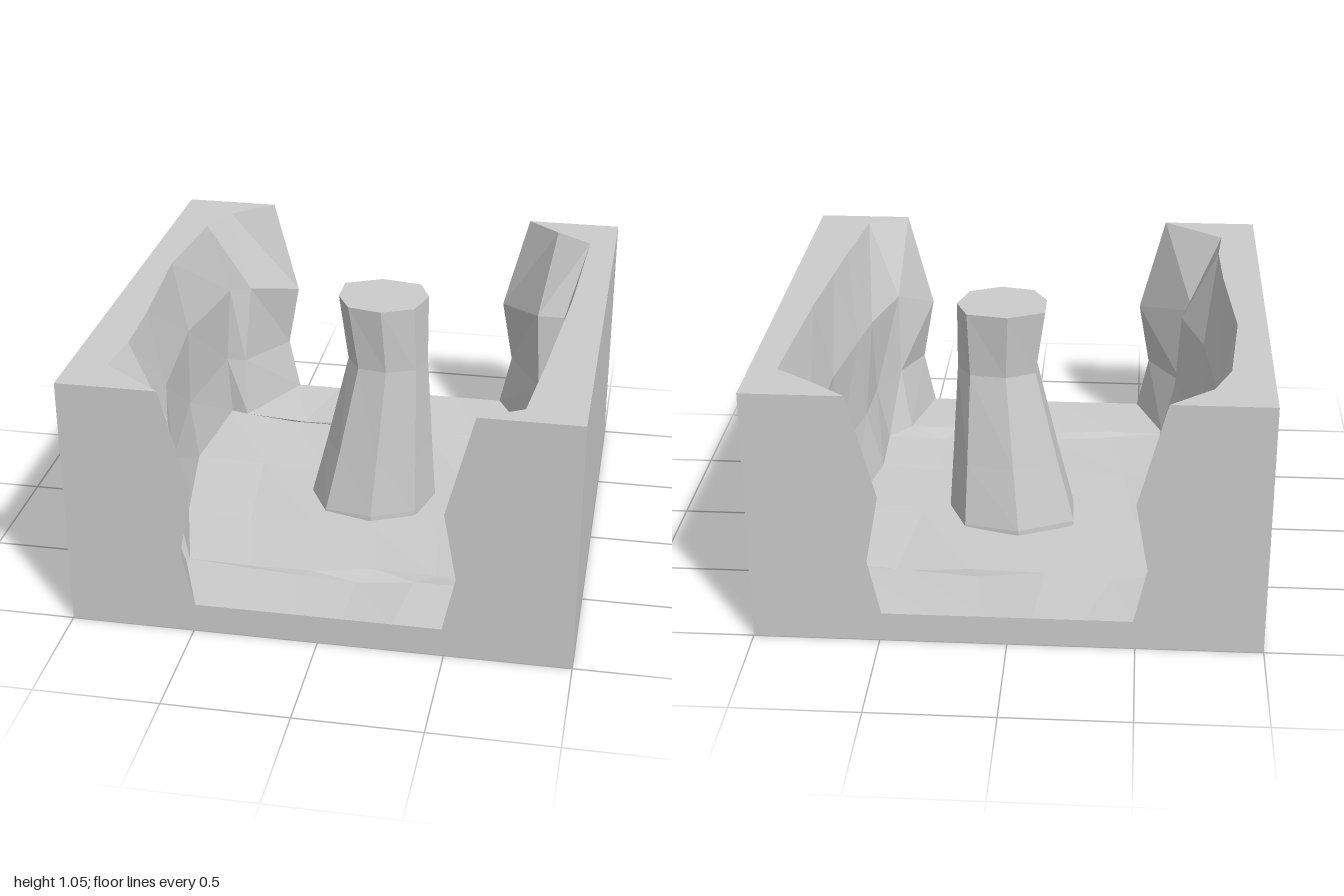
import * as THREE from 'three';

const TOP = 1.05, FLOOR = 0.12;

// Surface through rows of [x, y, z] points, flat-shaded facets
function loft(rows, flip = false) {
  const pos = [];
  for (let j = 0; j < rows.length - 1; j++) {
    for (let i = 0; i < rows[j].length - 1; i++) {
      const a = rows[j][i], b = rows[j][i + 1], c = rows[j + 1][i + 1], d = rows[j + 1][i];
      for (const t of [[a, b, c], [a, c, d]]) {
        if (flip) t.reverse();
        t.forEach((p) => pos.push(...p));
      }
    }
  }
  const g = new THREE.BufferGeometry();
  g.setAttribute('position', new THREE.Float32BufferAttribute(pos, 3));
  g.computeVertexNormals();
  return g;
}

// Level polygon from [x, z] points, facing up
function levelFace(points, y) {
  const shape = new THREE.Shape(points.map(([x, z]) => new THREE.Vector2(x, -z)));
  return new THREE.ShapeGeometry(shape).rotateX(-Math.PI / 2).translate(0, y, 0);
}

// Inner outlines of each wall, back to front, as [x, z]
const leftSide = {
  rim: [[0.6, -1], [0.74, -0.88], [0.89, -0.77], [0.86, -0.12], [0.83, 0.25], [0.81, 0.5], [0.77, 0.9], [0.6, 1]],
  mid: [[0.49, -1], [0.68, -0.66], [0.8, -0.66], [0.79, -0.12], [0.74, 0.25], [0.71, 0.48], [0.63, 0.8], [0.49, 1]],
  foot: [[0.49, -1], [0.68, -0.64], [0.79, -0.61], [0.73, -0.15], [0.65, 0.27], [0.66, 0.57], [0.57, 0.68], [0.49, 1]],
};
const rightSide = {
  rim: [[-0.6, -1], [-0.77, -0.85], [-0.84, -0.68], [-0.88, -0.22], [-0.84, 0.3], [-0.83, 0.6], [-0.85, 0.81], [-0.6, 1]],
  mid: [[-0.49, -1], [-0.66, -0.74], [-0.75, -0.7], [-0.82, -0.22], [-0.77, 0.32], [-0.68, 0.62], [-0.73, 0.71], [-0.49, 1]],
  foot: [[-0.49, -1], [-0.67, -0.65], [-0.75, -0.67], [-0.79, -0.2], [-0.71, 0.28], [-0.6, 0.67], [-0.61, 0.69], [-0.49, 1]],
};

// Pillar outlines as [x, z]
const pillarBase = [[-0.23, -0.2], [0, -0.31], [0.23, -0.26], [0.31, -0.07], [0.25, 0.12], [0.07, 0.2], [-0.13, 0.17], [-0.22, 0]];
const pillarNeck = [[-0.06, -0.12], [0.06, -0.18], [0.21, -0.16], [0.27, -0.06], [0.24, 0.07], [0.12, 0.12], [0, 0.1], [-0.06, 0]];
const pillarTop = [[-0.1, -0.14], [0.05, -0.21], [0.22, -0.18], [0.27, -0.06], [0.23, 0.08], [0.1, 0.14], [-0.04, 0.11], [-0.1, 0]];

export function createModel() {
  const group = new THREE.Group();
  const stone = new THREE.MeshStandardMaterial({ color: 0xcccccc });
  stone.name = 'stone grey';
  const add = (name, geometry) => {
    const mesh = new THREE.Mesh(geometry, stone);
    mesh.name = name;
    group.add(mesh);
  };

  // Open end faces
  const half = [[1, 0], [1, TOP], [0.6, TOP], [0.49, 0.63], [0.54, 0.35], [0.49, FLOOR]];
  const outline = [...half, ...half.map(([x, y]) => [-x, y]).reverse()];
  const endShape = new THREE.Shape(outline.map(([x, y]) => new THREE.Vector2(x, y)));
  add('frontEnd', new THREE.ShapeGeometry(endShape).translate(0, 0, 1));
  add('backEnd', new THREE.ShapeGeometry(endShape).rotateY(Math.PI).translate(0, 0, -1));

  // Underside
  add('underside', new THREE.PlaneGeometry(2, 2).rotateX(Math.PI / 2));

  // Rocky walls: outside, top and faceted inner face
  for (const [name, wall, s] of [['left', leftSide, 1], ['right', rightSide, -1]]) {
    add(name + 'WallOutside', new THREE.PlaneGeometry(2, TOP).rotateY(s * Math.PI / 2).translate(s, TOP / 2, 0));
    add(name + 'WallTop', levelFace([...wall.rim, [s, 1], [s, -1]], TOP));
    const isEnd = (i) => i === 0 || i === wall.rim.length - 1;
    const foot = wall.foot.map(([x, z]) => [x, FLOOR, z]);
    const low = wall.foot.map(([x, z], i) => {
      const [mx, mz] = wall.mid[i];
      return isEnd(i) ? [s * 0.54, 0.35, z] : [(x + mx) / 2 + s * 0.02, 0.38, (z + mz) / 2];
    });
    const mid = wall.mid.map(([x, z], i) => [x, isEnd(i) ? 0.63 : 0.73, z]);
    const rim = wall.rim.map(([x, z]) => [x, TOP, z]);
    add(name + 'WallInside', loft([foot, low, mid, rim], s < 0));
  }

  // Uneven floor between the wall feet
  const columns = 5, floorRows = [];
  for (let j = 0; j <= columns; j++) {
    const t = j / columns;
    floorRows.push(rightSide.foot.map(([x, z], i) => {
      const [lx, lz] = leftSide.foot[i];
      const inside = j > 0 && j < columns && i > 0 && i < 7;
      const dip = inside ? 0.015 + 0.015 * Math.sin(i * 2.3 + j * 4.1) : 0;
      return [x + (lx - x) * t, FLOOR - dip, z + (lz - z) * t];
    }));
  }
  add('floor', loft(floorRows));

  // Faceted pillar, waisted below its top
  const ring = (points, y) => [...points, points[0]].map(([x, z]) => [x, y, z]);
  const pillarLow = pillarBase.map(([x, z], i) => [
    x + (pillarNeck[i][0] - x) * 0.42, z + (pillarNeck[i][1] - z) * 0.42]);
  add('pillarSides', loft([
    ring(pillarBase, 0.08), ring(pillarBase, FLOOR), ring(pillarLow, 0.38),
    ring(pillarNeck, 0.77), ring(pillarTop, TOP)], true));
  add('pillarTop', levelFace(pillarTop, TOP));

  return group;
}
